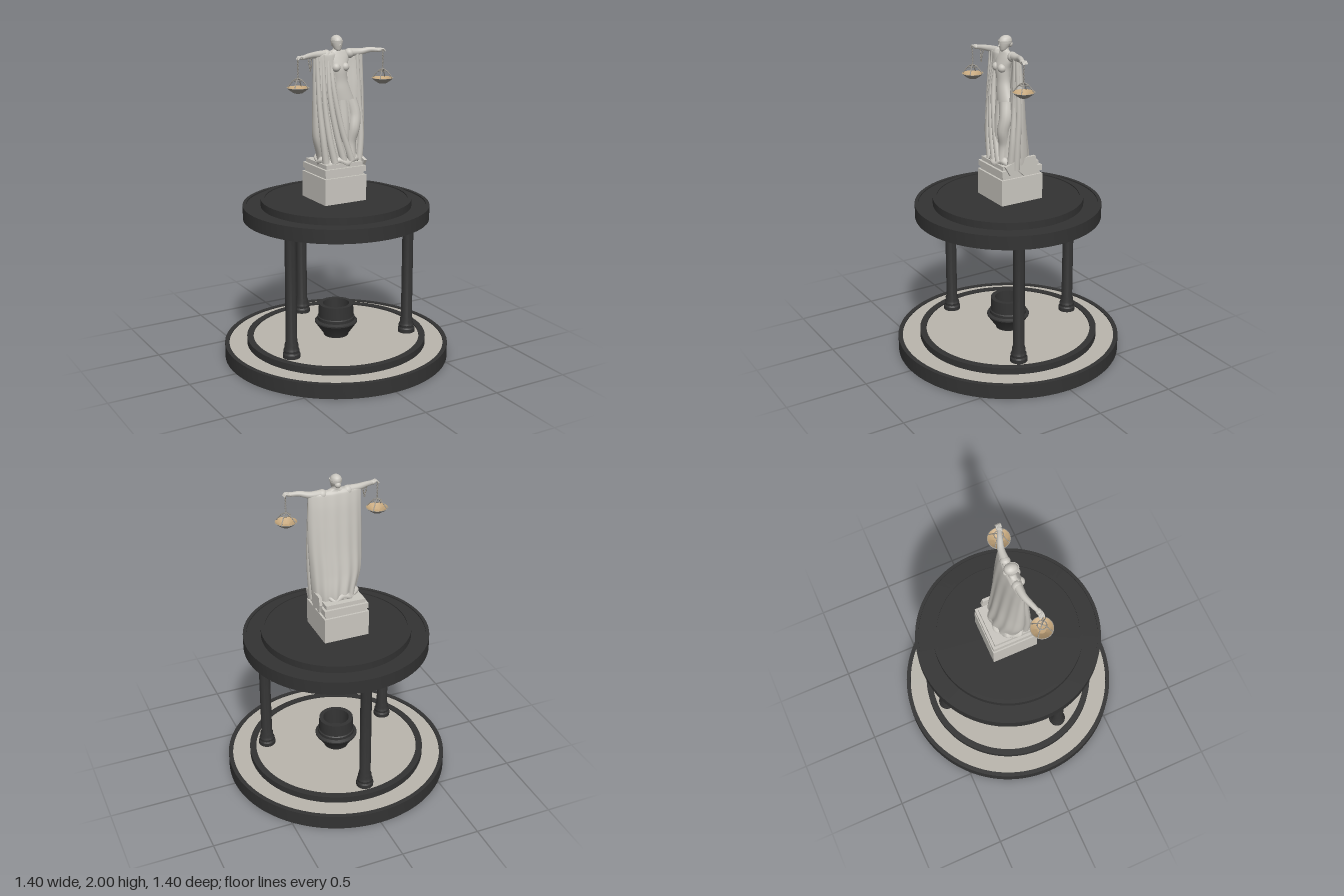
import * as THREE from 'three';
import { toCreasedNormals, mergeVertices } from 'three/addons/utils/BufferGeometryUtils.js';

const mat = (name, color) => Object.assign(new THREE.MeshStandardMaterial({ color }), { name });
const V = (x, y, z) => new THREE.Vector3(x, y, z);

export function createModel() {
  const dark = mat('dark bronze', 0x333333);
  const floorStone = mat('floor stone', 0xb9b5ac);
  const marble = mat('marble', 0xcac7c0);
  const metal = mat('chain metal', 0x98948c);
  const tan = mat('pan lining', 0xc4a67c);
  const model = new THREE.Group();
  model.name = 'statueMonument';

  const add = (name, geo, material, parent = model, pos = [0, 0, 0]) => {
    const m = new THREE.Mesh(geo, material);
    m.name = name;
    m.position.set(...pos);
    parent.add(m);
    return m;
  };
  const group = (name, parent = model) => {
    const g = new THREE.Group();
    g.name = name;
    parent.add(g);
    return g;
  };
  // turned part with sharp edges; profile runs bottom to top as [radius, y]
  const lathe = (pts, seg = 64) =>
    toCreasedNormals(new THREE.LatheGeometry(pts.map(p => new THREE.Vector2(...p)), seg), 0.5);

  // smooth body through rings [y, cx, cz, rx, rz], bottom to top, with an optional vertex rule
  const loft = (rings, rule = () => {}, rows = 40, seg = 48) => {
    const centre = new THREE.CatmullRomCurve3(rings.map(r => V(r[1], r[0], r[2])));
    const size = new THREE.CatmullRomCurve3(rings.map(r => V(r[3], r[4], 0)));
    const pos = [], idx = [];
    for (let i = 0; i <= rows; i++) {
      const s = i / rows, c = centre.getPoint(s), r = size.getPoint(s);
      for (let j = 0; j < seg; j++) {
        const a = (j / seg) * Math.PI * 2;
        const p = V(c.x + Math.cos(a) * r.x, c.y, c.z + Math.sin(a) * r.y);
        rule(p, a, s, c);
        pos.push(p.x, p.y, p.z);
        if (i === rows) continue;
        const k = i * seg + j, n = i * seg + (j + 1) % seg;
        idx.push(k, k + seg, n, k + seg, n + seg, n);
      }
    }
    for (const [row, flip] of [[0, false], [rows, true]]) {
      const c = centre.getPoint(row / rows), mid = pos.length / 3;
      pos.push(c.x, c.y, c.z);
      for (let j = 0; j < seg; j++) {
        const k = row * seg + j, n = row * seg + (j + 1) % seg;
        idx.push(mid, flip ? n : k, flip ? k : n);
      }
    }
    const g = new THREE.BufferGeometry();
    g.setAttribute('position', new THREE.Float32BufferAttribute(pos, 3));
    g.setIndex(idx);
    g.computeVertexNormals();
    return g;
  };

  // tapered tube through points, with radii from start to end
  const limb = (pts, r0, r1, seg = 24) => {
    const curve = new THREE.CatmullRomCurve3(pts.map(p => V(...p)));
    const g = new THREE.TubeGeometry(curve, seg, 1, 12);
    const p = g.attributes.position, n = g.attributes.normal;
    for (let i = 0; i < p.count; i++) {
      const s = Math.floor(i / 13) / seg, c = curve.getPointAt(s), r = r0 + (r1 - r0) * s;
      p.setXYZ(i, c.x + n.getX(i) * r, c.y + n.getY(i) * r, c.z + n.getZ(i) * r);
    }
    return g;
  };

  // round base: dark rims with pale floors
  const disc = r => new THREE.CircleGeometry(r, 96).rotateX(-Math.PI / 2);
  const base = group('base');
  add('baseRim', lathe([[0.699, 0], [0.699, 0.09], [0.672, 0.09], [0.672, 0.08]], 96), dark, base);
  add('baseFloor', disc(0.673), floorStone, base, [0, 0.083, 0]);
  add('baseUnderside', disc(0.699).rotateX(Math.PI), floorStone, base);
  add('stepRim', lathe([[0.56, 0.08], [0.56, 0.125], [0.52, 0.125], [0.52, 0.112]], 96), dark, base);
  add('stepFloor', disc(0.521), floorStone, base, [0, 0.117, 0]);

  // three columns
  const columnGeo = lathe([[0.053, 0.115], [0.053, 0.14], [0.047, 0.15], [0.048, 0.165], [0.041, 0.18],
    [0.041, 0.2], [0.035, 0.215], [0.034, 0.865], [0.041, 0.873], [0.041, 0.895]], 32);
  for (const [x, z] of [[-0.412, 0.18], [0.412, 0.18], [0, -0.455]]) add('column', columnGeo, dark, model, [x, 0, z]);

  // hollow urn
  add('urn', lathe([[0, 0.118], [0.077, 0.118], [0.08, 0.13], [0.133, 0.205], [0.133, 0.213], [0.116, 0.222],
    [0.116, 0.24], [0.11, 0.245], [0.108, 0.325], [0.082, 0.325], [0.075, 0.22], [0, 0.22]], 40), dark);

  // upper platform with lipped rims
  add('platform', lathe([[0, 0.89], [0.57, 0.89], [0.57, 0.975], [0.55, 0.975], [0.55, 0.967], [0.46, 0.967],
    [0.46, 1.012], [0.437, 1.012], [0.437, 1.005], [0, 1.005]], 96), dark);

  // pedestal as stacked blocks [y0, y1, width]
  const pedestal = group('pedestal');
  for (const [y0, y1, w] of [[1.005, 1.165, 0.285], [1.165, 1.185, 0.26], [1.185, 1.22, 0.28], [1.22, 1.245, 0.25]])
    add('pedestalBlock', new THREE.BoxGeometry(w, y1 - y0, w), marble, pedestal, [-0.004, (y0 + y1) / 2, -0.016]);

  const statue = group('statue');
  // cloak: folded all round, hollowed in front where the body stands
  add('cloak', loft([[1.225, 0.015, 0, 0.135, 0.105], [1.28, 0.015, 0, 0.14, 0.104], [1.4, 0.003, 0.003, 0.16, 0.09],
    [1.55, 0.004, 0.01, 0.167, 0.075], [1.7, 0.004, 0.014, 0.168, 0.06], [1.82, 0.002, 0.016, 0.165, 0.045],
    [1.89, 0, 0.02, 0.164, 0.034], [1.908, 0, 0.02, 0.155, 0.018]],
  (p, a, s, c) => {
    const k = 1 + 0.07 * Math.sin(13 * a + 2 * s) * (1 - 0.7 * s);
    p.z = c.z + (p.z - c.z) * k;
    if (Math.sin(a) > 0) p.z -= 0.05 * Math.exp(-(((p.x - 0.05) / 0.06) ** 2)) * Math.sin(a);
  }, 48, 96), marble, statue);

  // torso and skirted legs
  add('body', loft([[1.24, 0.045, 0.035, 0.07, 0.065], [1.38, 0.05, 0.035, 0.062, 0.05], [1.5, 0.05, 0.035, 0.068, 0.05],
    [1.6, 0.035, 0.032, 0.07, 0.05], [1.68, 0.015, 0.035, 0.058, 0.043], [1.74, 0.005, 0.035, 0.048, 0.038],
    [1.81, -0.002, 0.032, 0.056, 0.042], [1.87, -0.005, 0.022, 0.075, 0.033], [1.905, -0.005, 0.018, 0.055, 0.022],
    [1.917, -0.005, 0.016, 0.024, 0.02], [1.94, -0.005, 0.016, 0.021, 0.021]]), marble, statue);
  for (const x of [-0.033, 0.027])
    add('breast', new THREE.SphereGeometry(0.026, 20, 14), marble, statue, [x, 1.815, 0.058]);
  add('frontLeg', limb([[0.065, 1.62, 0.05], [0.085, 1.53, 0.068], [0.075, 1.45, 0.08], [0.06, 1.36, 0.065],
    [0.06, 1.26, 0.075]], 0.042, 0.03), marble, statue);
  add('rearLeg', limb([[0.01, 1.62, 0.045], [0.015, 1.45, 0.062], [0.01, 1.26, 0.06]], 0.04, 0.035), marble, statue);

  // head with swept-back hair, band and nose
  const head = group('head', statue);
  add('skull', loft([[1.908, 0, 0.038, 0.008, 0.008], [1.918, 0, 0.03, 0.02, 0.02], [1.94, 0, 0.022, 0.029, 0.033],
    [1.965, 0, 0.016, 0.034, 0.041], [1.985, 0, 0.013, 0.028, 0.034], [1.997, 0, 0.012, 0.013, 0.016],
    [2, 0, 0.012, 0.002, 0.002]], undefined, 24, 28), marble, head);
  const band = add('blindfold', new THREE.CylinderGeometry(0.036, 0.035, 0.014, 28), marble, head, [0, 1.963, 0.017]);
  band.scale.z = 1.17;
  const nose = add('nose', new THREE.ConeGeometry(0.006, 0.02, 8), marble, head, [0, 1.95, 0.056]);
  nose.rotation.x = -0.25;
  add('hairKnot', new THREE.SphereGeometry(0.019, 16, 12), marble, head, [0, 1.945, -0.014]);
  head.position.x = -0.005;

  // long folds of cloth
  const folds = [
    [[-0.145, 1.885, 0.03], [-0.14, 1.6, 0.05], [-0.125, 1.4, 0.065], [-0.105, 1.25, 0.065]],
    [[-0.11, 1.89, 0.035], [-0.11, 1.6, 0.062], [-0.09, 1.4, 0.08], [-0.06, 1.25, 0.09]],
    [[-0.075, 1.895, 0.035], [-0.08, 1.65, 0.068], [-0.045, 1.42, 0.087], [0.0, 1.25, 0.095]],
    [[-0.055, 1.9, 0.03], [-0.055, 1.7, 0.065], [-0.01, 1.45, 0.085], [0.05, 1.26, 0.095]],
    [[0.125, 1.895, 0.03], [0.135, 1.6, 0.04], [0.14, 1.4, 0.055], [0.125, 1.24, 0.06]],
    [[0.15, 1.89, 0.03], [0.16, 1.55, 0.025], [0.153, 1.38, 0.03], [0.14, 1.22, 0.03]],
  ];
  for (const f of folds) add('clothFold', limb(f, 0.012, 0.022), marble, statue);

  // cloth gathered on the pedestal and hanging over its left edge
  add('hemCloth', loft([[1.24, 0.005, 0.002, 0.135, 0.112], [1.255, 0.005, 0.002, 0.14, 0.114],
    [1.285, 0.01, 0, 0.122, 0.095]], (p, a, s, c) => {
    const k = 1 + 0.05 * Math.sin(9 * a);
    p.x = c.x + (p.x - c.x) * k;
    p.z = c.z + (p.z - c.z) * k;
    p.y += 0.012 * Math.sin(7 * a + 1);
  }, 10, 72), marble, statue);
  const tail = new THREE.Shape([[-0.11, 1.25], [-0.075, 1.19], [-0.03, 1.225], [0.02, 1.175], [0.06, 1.2], [0.095, 1.185],
    [0.112, 1.24], [0.1, 1.29], [0, 1.29]].map(p => new THREE.Vector2(...p)));
  add('hangingCloth', new THREE.ExtrudeGeometry(tail, { depth: 0.018, bevelEnabled: false }).rotateY(Math.PI / 2),
    marble, statue, [0.134, 0, 0]);

  // string of interlocked chain links between two points
  const linkGeo = new THREE.TorusGeometry(0.0055, 0.0018, 6, 10).scale(0.75, 1.2, 1);
  const chain = (a, b, parent) => {
    const d = b.clone().sub(a), n = Math.max(2, Math.round(d.length() / 0.0095));
    const q = new THREE.Quaternion().setFromUnitVectors(V(0, 1, 0), d.normalize());
    for (let i = 0; i <= n; i++) {
      const m = add('chainLink', linkGeo, metal, parent);
      m.position.lerpVectors(a, b, i / n);
      m.quaternion.copy(q).multiply(new THREE.Quaternion().setFromAxisAngle(V(0, 1, 0), (i % 2) * Math.PI / 2));
    }
  };

  // outstretched arms, each holding a scale pan
  const sides = [{ name: 'right', s: -1, x: -0.293, rim: 1.72, hand: 1.888 }, { name: 'left', s: 1, x: 0.282, rim: 1.733, hand: 1.9 }];
  for (const { name, s, x, rim, hand } of sides) {
    const arm = group(name + 'Arm', statue);
    add('shoulder', new THREE.SphereGeometry(0.03, 16, 12), marble, arm, [s * 0.078, 1.888, 0.018]);
    add('arm', limb([[s * 0.07, 1.892, 0.018], [s * 0.15, 1.893, 0.025], [s * 0.21, hand + 0.004, 0.045], [s * 0.25, hand, 0.06]],
      0.026, 0.013), marble, arm);
    add('palm', new THREE.SphereGeometry(0.017, 14, 10).scale(1.3, 0.8, 1), marble, arm, [s * 0.258, hand, 0.063]);
    for (let i = 0; i < 4; i++) {
      const z = 0.052 + i * 0.008;
      add('finger', limb([[s * 0.262, hand + 0.004, z], [s * 0.282, hand + 0.006, z + 0.003], [s * 0.294, hand - 0.008, z + 0.003]],
        0.0055, 0.0045, 8), marble, arm);
    }

    const scale = group(name + 'Scale', statue);
    const z = 0.07, top = rim + 0.052;
    chain(V(x, hand - 0.008, z), V(x, top, z), scale);
    add('panOutside', lathe([[0, rim - 0.034], [0.025, rim - 0.032], [0.05, rim - 0.015], [0.067, rim], [0.063, rim + 0.001]], 32),
      metal, scale, [x, 0, z]);
    add('panLining', lathe([[0.064, rim + 0.001], [0.048, rim - 0.012], [0.024, rim - 0.028], [0, rim - 0.03]], 32),
      tan, scale, [x, 0, z]);
    const ring = add('spreader', new THREE.TorusGeometry(0.026, 0.003, 6, 24), metal, scale, [x, top - 0.01, z]);
    ring.rotation.x = Math.PI / 2;
    for (let i = 0; i < 4; i++) {
      const a = Math.PI / 4 + i * Math.PI / 2, c = Math.cos(a), d = Math.sin(a);
      add('panStay', limb([[x, top + 0.004, z], [x + c * 0.026, top - 0.01, z + d * 0.026],
        [x + c * 0.062, rim, z + d * 0.062]], 0.003, 0.003, 10), metal, scale);
    }
  }

  // loose chain loop hanging from the right wrist
  const slack = group('looseChain', statue);
  const loop = [V(-0.217, 1.89, 0.055), V(-0.214, 1.845, 0.06), V(-0.206, 1.812, 0.06), V(-0.198, 1.845, 0.06), V(-0.195, 1.885, 0.05)];
  for (let i = 0; i < loop.length - 1; i++) chain(loop[i], loop[i + 1], slack);

  return model;
}
